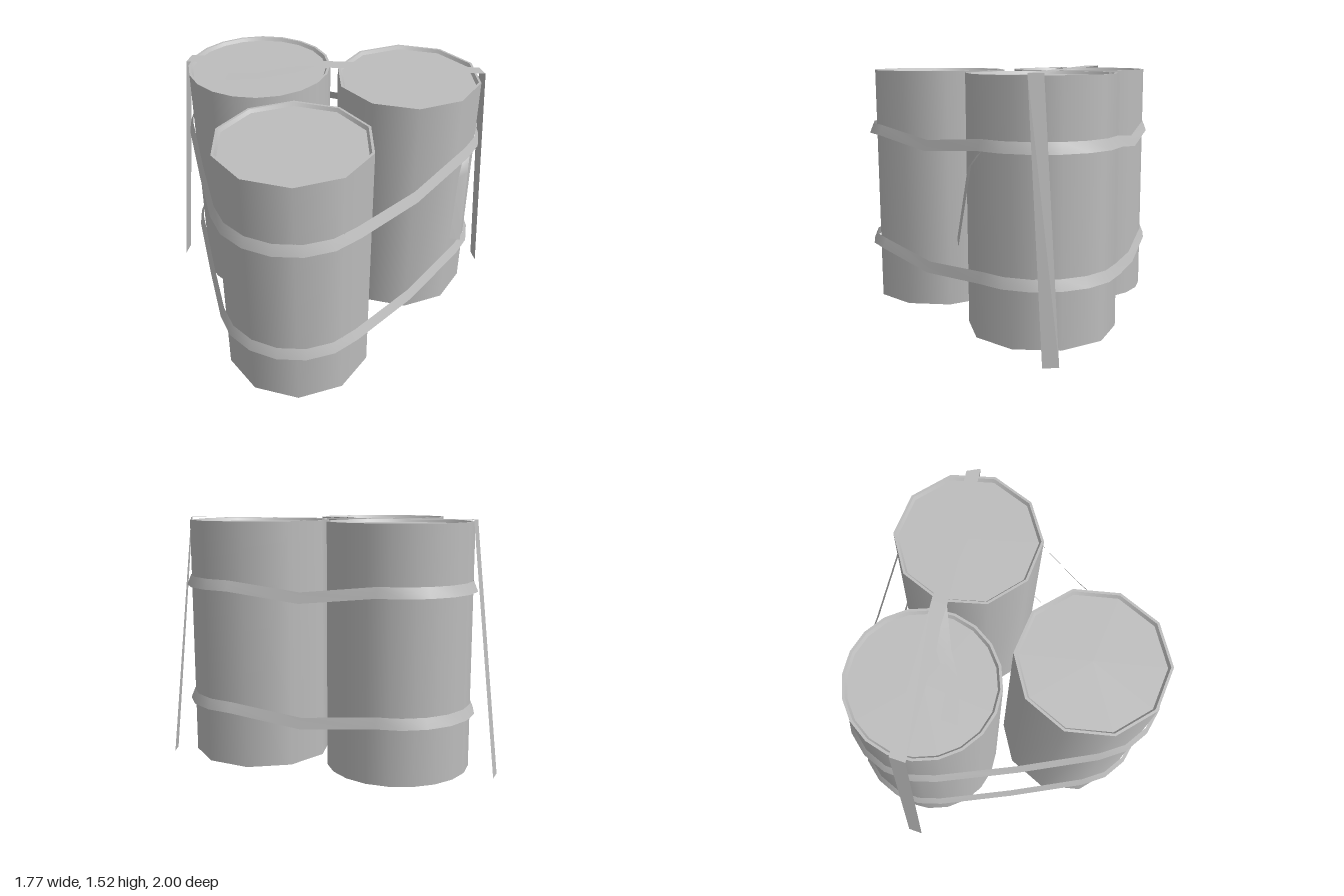
import * as THREE from 'three';

const gray = new THREE.MeshStandardMaterial({ color: 0xbcbcbc, side: THREE.DoubleSide });
gray.name = 'plain gray';

const RADIUS = 0.433, BOTTOM = 0.03, TOP = 1.5, RECESS = 0.02;

// Drums in order around the bundle: centre, number of sides, turn of the first corner
const drums = [
  { name: 'backDrum', x: 0.22, z: -0.455, sides: 10, turn: Math.PI / 2 + 0.035 },
  { name: 'frontDrum', x: 0.425, z: 0.533, sides: 10, turn: Math.PI / 2 },
  { name: 'sideDrum', x: -0.432, z: 0.176, sides: 20, turn: 0 },
];

function createDrum({ name, x, z, sides, turn }) {
  const drum = new THREE.Group();
  drum.name = name;
  drum.position.set(x, 0, z);
  const add = (part, geometry, y) => {
    const mesh = new THREE.Mesh(geometry, gray);
    mesh.name = part;
    mesh.position.y = y;
    drum.add(mesh);
  };
  const disc = (r) => new THREE.CircleGeometry(r, sides).rotateX(-Math.PI / 2).rotateY(turn - Math.PI / 2);
  const tube = (rTop, rBottom, h) => new THREE.CylinderGeometry(rTop, rBottom, h, sides, 1, true, turn);
  add('wall', tube(RADIUS, RADIUS, TOP - BOTTOM), (TOP + BOTTOM) / 2);
  add('base', disc(RADIUS).rotateX(Math.PI).rotateY(sides === 10 ? 2 * turn - Math.PI : 0), BOTTOM);
  // Flat lip, sloping inner wall and sunken lid
  const lip = new THREE.RingGeometry(RADIUS - 0.015, RADIUS, sides, 1);
  add('lip', lip.rotateX(-Math.PI / 2).rotateY(turn - Math.PI / 2), TOP);
  add('innerWall', tube(RADIUS - 0.015, RADIUS - 0.027, RECESS), TOP - RECESS / 2);
  add('lid', disc(RADIUS - 0.027), TOP - RECESS);
  return drum;
}

// Thin sheet between two edges given as lists of [x, y, z]
function ribbon(name, upper, lower, { closed = false, flat = false } = {}) {
  const n = upper.length, index = [];
  for (let i = 0; i < (closed ? n : n - 1); i++) {
    const j = (i + 1) % n;
    index.push(i, j, n + i, j, n + j, n + i);
  }
  let geometry = new THREE.BufferGeometry();
  geometry.setAttribute('position', new THREE.Float32BufferAttribute([...upper, ...lower].flat(), 3));
  geometry.setIndex(index);
  if (flat) geometry = geometry.toNonIndexed();
  geometry.computeVertexNormals();
  const mesh = new THREE.Mesh(geometry, gray);
  mesh.name = name;
  return mesh;
}

// One edge of a band: arcs round the drums, with a sag halfway along each free span
function bandEdge(radius, y) {
  const points = [], count = drums.length, steps = 6;
  const normal = (p, q) => Math.atan2(p.x - q.x, q.z - p.z);
  drums.forEach((d, i) => {
    const next = drums[(i + 1) % count], previous = drums[(i + count - 1) % count];
    const start = normal(previous, d);
    let end = normal(d, next);
    while (end < start) end += Math.PI * 2;
    for (let k = 0; k <= steps; k++) {
      const a = start + (end - start) * k / steps;
      points.push([d.x + radius * Math.cos(a), y, d.z + radius * Math.sin(a)]);
    }
    points.push([
      (d.x + next.x) / 2 + radius * Math.cos(end), y - 0.05,
      (d.z + next.z) / 2 + radius * Math.sin(end),
    ]);
  });
  return points;
}

export function createModel() {
  const model = new THREE.Group();
  model.name = 'drumBundle';
  drums.forEach((d) => model.add(createDrum(d)));

  // Flared bands round the whole bundle
  for (const [name, y] of [['lowerBand', 0.37], ['upperBand', 1.1]]) {
    model.add(ribbon(name, bandEdge(0.438, y + 0.062), bandEdge(0.463, y), { closed: true }));
  }

  // Loose end of the upper band
  model.add(ribbon('bandTail',
    [[0.66, 1.1, -0.58], [0.7, 1.02, -0.535], [0.755, 0.57, -0.475]],
    [[0.66, 1.07, -0.52], [0.69, 1.0, -0.47], [0.73, 0.6, -0.405]]));

  // Strap over two drums, hanging down at both ends
  model.add(ribbon('topStrap',
    [[-0.87, 0, 0.58], [-0.78, 1.513, 0.45], [-0.16, 1.513, -0.21], [0.43, 1.513, -0.84], [0.43, 0, -1]],
    [[-0.81, 0, 0.65], [-0.72, 1.513, 0.52], [-0.1, 1.513, -0.14], [0.51, 1.513, -0.81], [0.51, 0, -0.96]],
    { flat: true }));

  // Loose strap end lying on the side drum
  model.add(ribbon('strapTail',
    [[-0.45, 1.506, 0.41], [-0.33, 1.506, 0.26], [-0.28, 1.508, 0.06], [-0.19, 1.518, -0.05]],
    [[-0.39, 1.506, 0.48], [-0.27, 1.506, 0.3], [-0.21, 1.508, 0.1], [-0.1, 1.518, -0.14]]));

  return model;
}
